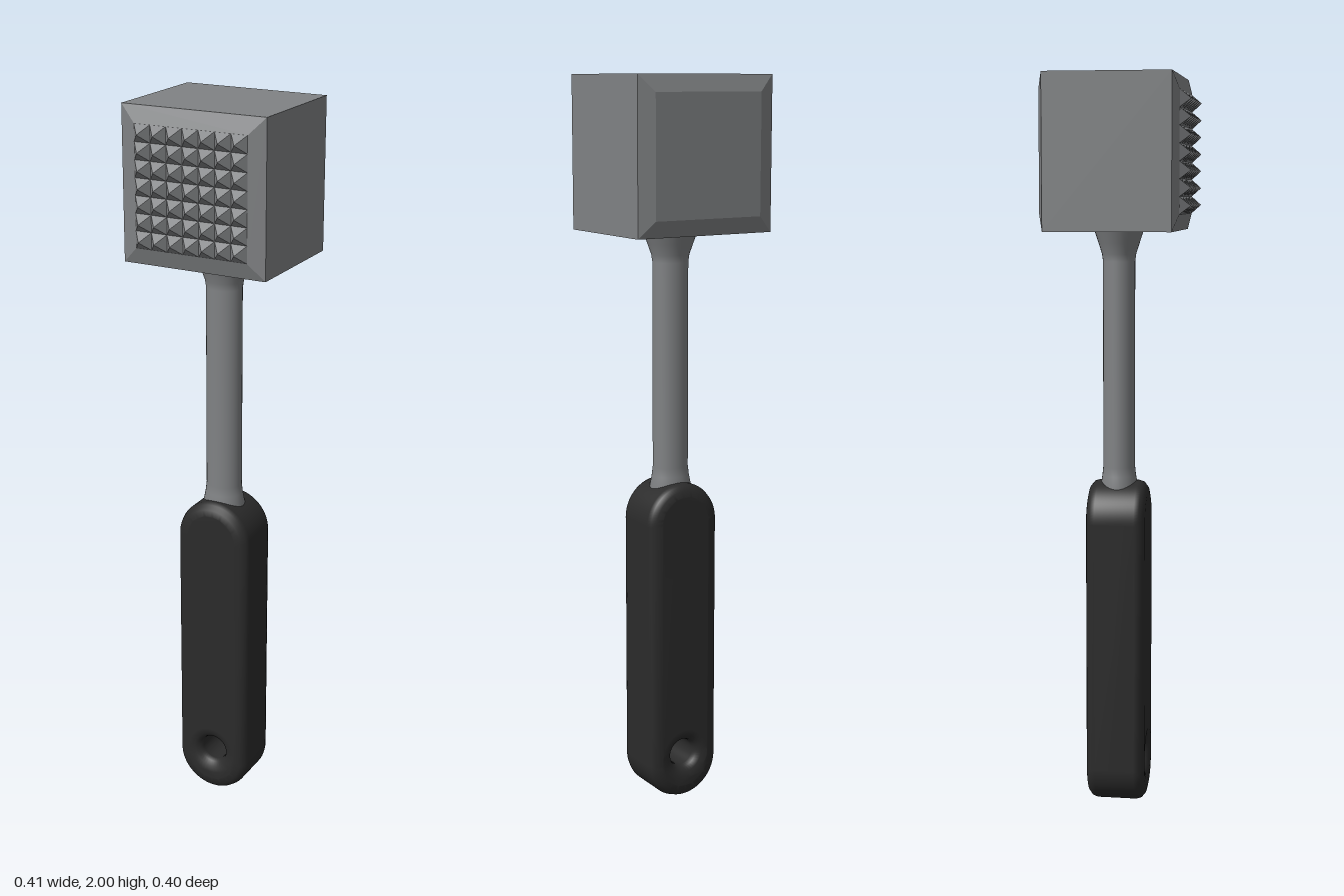
import * as THREE from 'three';
import { mergeGeometries, mergeVertices } from 'three/addons/utils/BufferGeometryUtils.js';

const AXIS_Z = -0.012; // the handle sits slightly behind the centre
const HEAD_Y = 1.797;

const v2 = (x, y) => new THREE.Vector2(x, y);

function faceted(geometry) {
  const flat = geometry.toNonIndexed();
  flat.computeVertexNormals();
  return flat;
}

// Square block with chamfered striking faces: a four-sided lathe turned to run along z
function headGeometry() {
  const k = Math.SQRT2;
  const profile = [
    v2(0, -0.2), v2(0.16 * k, -0.2), v2(0.204 * k, -0.185),
    v2(0.204 * k, 0.153), v2(0.16 * k, 0.168), v2(0, 0.168),
  ];
  const g = new THREE.LatheGeometry(profile, 4);
  g.rotateY(Math.PI / 4);
  g.rotateX(Math.PI / 2);
  g.translate(0, HEAD_Y, 0);
  return faceted(g);
}

// 7 x 7 grid of pyramids on the front face
function spikesGeometry() {
  const n = 7, pitch = 0.0456, height = 0.028;
  const spike = new THREE.ConeGeometry(pitch / 2 * Math.SQRT2, height, 4, 1, true);
  spike.rotateY(Math.PI / 4);
  spike.rotateX(Math.PI / 2);
  const list = [];
  for (let i = 0; i < n; i++) {
    for (let j = 0; j < n; j++) {
      list.push(spike.clone().translate(
        (i - (n - 1) / 2) * pitch, HEAD_Y + (j - (n - 1) / 2) * pitch, 0.168 + height / 2));
    }
  }
  return faceted(mergeGeometries(list));
}

// Slightly oval rod flaring at both ends
function shaftGeometry() {
  const profile = [
    v2(0.06, 0.82), v2(0.06, 0.89), v2(0.053, 0.925), v2(0.05, 0.95),
    v2(0.05, 1.51), v2(0.053, 1.53), v2(0.064, 1.56), v2(0.079, 1.6),
  ];
  const g = new THREE.LatheGeometry(profile, 32);
  g.scale(1, 1, 0.87);
  g.translate(0, 0, AXIS_Z);
  return g;
}

// Rounded bar with a countersunk hanging hole
function gripGeometry() {
  const r = 0.108, top = 0.91, half = 0.081, bevel = 0.027, inset = 0.034;
  const shape = new THREE.Shape();
  shape.absarc(0, r, r, Math.PI, Math.PI * 2, false);
  shape.absarc(0, top - r, r, 0, Math.PI, false);
  shape.closePath();
  const hole = new THREE.Path();
  hole.absarc(0, 0.128, 0.038, 0, Math.PI * 2, true);
  shape.holes.push(hole);
  let g = new THREE.ExtrudeGeometry(shape, {
    depth: 2 * (half - bevel), curveSegments: 20, steps: 1,
    bevelEnabled: true, bevelThickness: bevel, bevelSize: inset,
    bevelOffset: -inset, bevelSegments: 3,
  });
  g.translate(0, 0, AXIS_Z - (half - bevel));
  // weld so the bevels shade smoothly
  g.deleteAttribute('uv');
  g.deleteAttribute('normal');
  g = mergeVertices(g, 1e-4);
  g.computeVertexNormals();
  return g;
}

export function createModel() {
  const steel = new THREE.MeshStandardMaterial({ color: 0x808284 });
  steel.name = 'steel';
  const rubber = new THREE.MeshStandardMaterial({ color: 0x2b2b2b });
  rubber.name = 'black rubber';

  const model = new THREE.Group();
  model.name = 'meatTenderizer';
  const add = (name, geometry, material) => {
    const mesh = new THREE.Mesh(geometry, material);
    mesh.name = name;
    model.add(mesh);
  };
  add('head', headGeometry(), steel);
  add('spikes', spikesGeometry(), steel);
  add('shaft', shaftGeometry(), steel);
  add('grip', gripGeometry(), rubber);
  return model;
}
